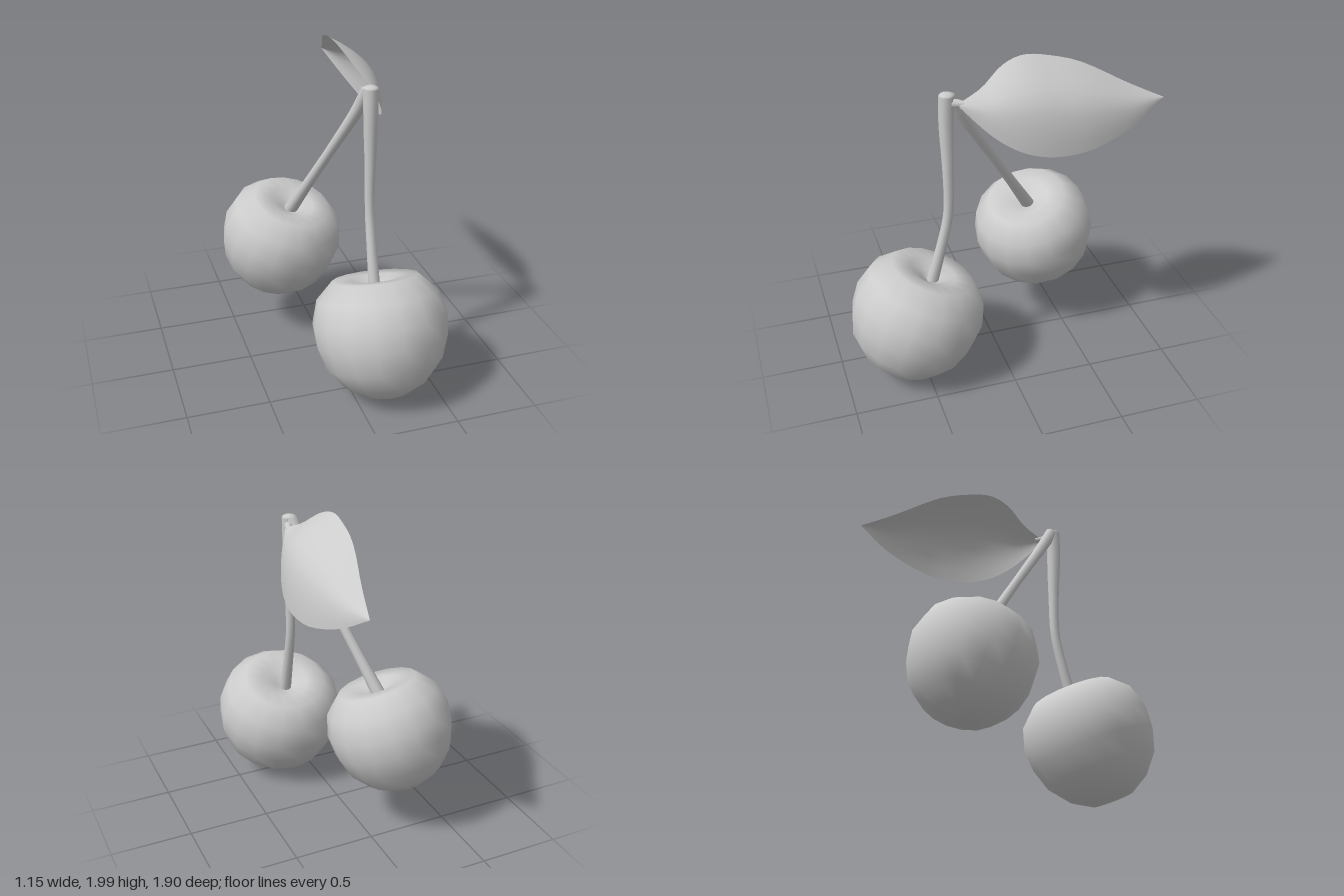
import * as THREE from 'three';

const material = new THREE.MeshStandardMaterial({ color: 0xcccccc });
const leafMaterial = new THREE.MeshStandardMaterial({ color: 0xcccccc, side: THREE.DoubleSide });

function addMesh(group, name, geometry, mat = material) {
  const mesh = new THREE.Mesh(geometry, mat);
  mesh.name = name;
  group.add(mesh);
  return mesh;
}

// Fruit: a lathe with a dimple on top, tilted so its axis follows the given direction
function cherry(group, name, centre, axis, size) {
  const profile = [
    [0, -0.37], [0.13, -0.36], [0.25, -0.29], [0.35, -0.17], [0.395, -0.03], [0.405, 0.1],
    [0.365, 0.24], [0.26, 0.345], [0.15, 0.34], [0.06, 0.295], [0, 0.27],
  ].map(([r, y]) => new THREE.Vector2(r, y));
  const mesh = addMesh(group, name, new THREE.LatheGeometry(profile, 16));
  mesh.position.set(...centre);
  mesh.quaternion.setFromUnitVectors(new THREE.Vector3(0, 1, 0), new THREE.Vector3(...axis).normalize());
  mesh.scale.setScalar(size);
}

// Stem: a tube whose rings are resized along the path, closed by a rounded end
function stem(group, name, points, radii) {
  const path = new THREE.CatmullRomCurve3(points.map((p) => new THREE.Vector3(...p)));
  const rings = 16, sides = 10;
  const geometry = new THREE.TubeGeometry(path, rings, 1, sides);
  const pos = geometry.attributes.position;
  const v = new THREE.Vector3();
  for (let i = 0; i < pos.count; i++) {
    const t = Math.floor(i / (sides + 1)) / rings;
    const f = t * (radii.length - 1);
    const k = Math.min(Math.floor(f), radii.length - 2);
    const r = THREE.MathUtils.lerp(radii[k], radii[k + 1], f - k);
    const c = path.getPointAt(t);
    v.fromBufferAttribute(pos, i).sub(c).multiplyScalar(r).add(c);
    pos.setXYZ(i, v.x, v.y, v.z);
  }
  addMesh(group, name, geometry);
  const end = addMesh(group, name + 'End', new THREE.SphereGeometry(radii[0], sides, 6));
  end.position.set(...points[0]);
  end.scale.y = 0.45;
}

// Leaf: cross-sections between an upper and a lower edge, bowed outwards in the middle
function leaf(group) {
  const along = [0.25, 0.11, -0.02, -0.15, -0.3, -0.5, -0.76, -0.96];
  const curve = (ys) => new THREE.SplineCurve(ys.map((y, i) => new THREE.Vector2(along[i], y)));
  const upper = curve([1.81, 1.87, 1.96, 2.0, 1.985, 1.93, 1.8, 1.71]);
  const lower = curve([1.79, 1.65, 1.56, 1.51, 1.49, 1.505, 1.59, 1.705]);
  const rows = 24, cols = 8, positions = [], index = [];
  for (let i = 0; i <= rows; i++) {
    const a = upper.getPoint(i / rows), b = lower.getPoint(i / rows);
    const bow = (a.y - b.y) * 0.22;
    for (let j = 0; j <= cols; j++) {
      const s = j / cols;
      const y = THREE.MathUtils.lerp(a.y, b.y, s);
      const d = bow * (1 - Math.pow(Math.abs(2 * s - 1), 1.6));
      positions.push(0.25 - (y - 1.745) * 0.6 + d * 0.86, y + d * 0.51, THREE.MathUtils.lerp(a.x, b.x, s));
      if (i < rows && j < cols) {
        const p = i * (cols + 1) + j, q = p + cols + 1;
        index.push(p, p + 1, q, p + 1, q + 1, q);
      }
    }
  }
  const geometry = new THREE.BufferGeometry();
  geometry.setAttribute('position', new THREE.Float32BufferAttribute(positions, 3));
  geometry.setIndex(index);
  geometry.computeVertexNormals();
  addMesh(group, 'leaf', geometry, leafMaterial);
}

export function createModel() {
  const group = new THREE.Group();
  group.name = 'cherryPair';

  cherry(group, 'frontCherry', [0.18, 0.39, 0.55], [0, 0.93, -0.36], 1);
  cherry(group, 'backCherry', [-0.2, 0.63, -0.36], [0.2, 0.94, 0.27], 0.94);

  stem(group, 'frontStem',
    [[0.17, 1.845, 0.31], [0.17, 1.7, 0.315], [0.175, 1.4, 0.312], [0.175, 1.1, 0.318], [0.175, 0.9, 0.36], [0.175, 0.64, 0.43]],
    [0.046, 0.042, 0.033, 0.029, 0.031, 0.037]);
  stem(group, 'backStem',
    [[0.16, 1.84, 0.295], [0.13, 1.7, 0.215], [0.01, 1.32, -0.02], [-0.145, 0.865, -0.295]],
    [0.04, 0.034, 0.03, 0.032, 0.042]);

  // Short stalk joining the leaf to the stems
  stem(group, 'leafStalk', [[0.175, 1.81, 0.3], [0.195, 1.805, 0.26], [0.215, 1.8, 0.2]], [0.03, 0.024, 0.012]);
  leaf(group);
  return group;
}
